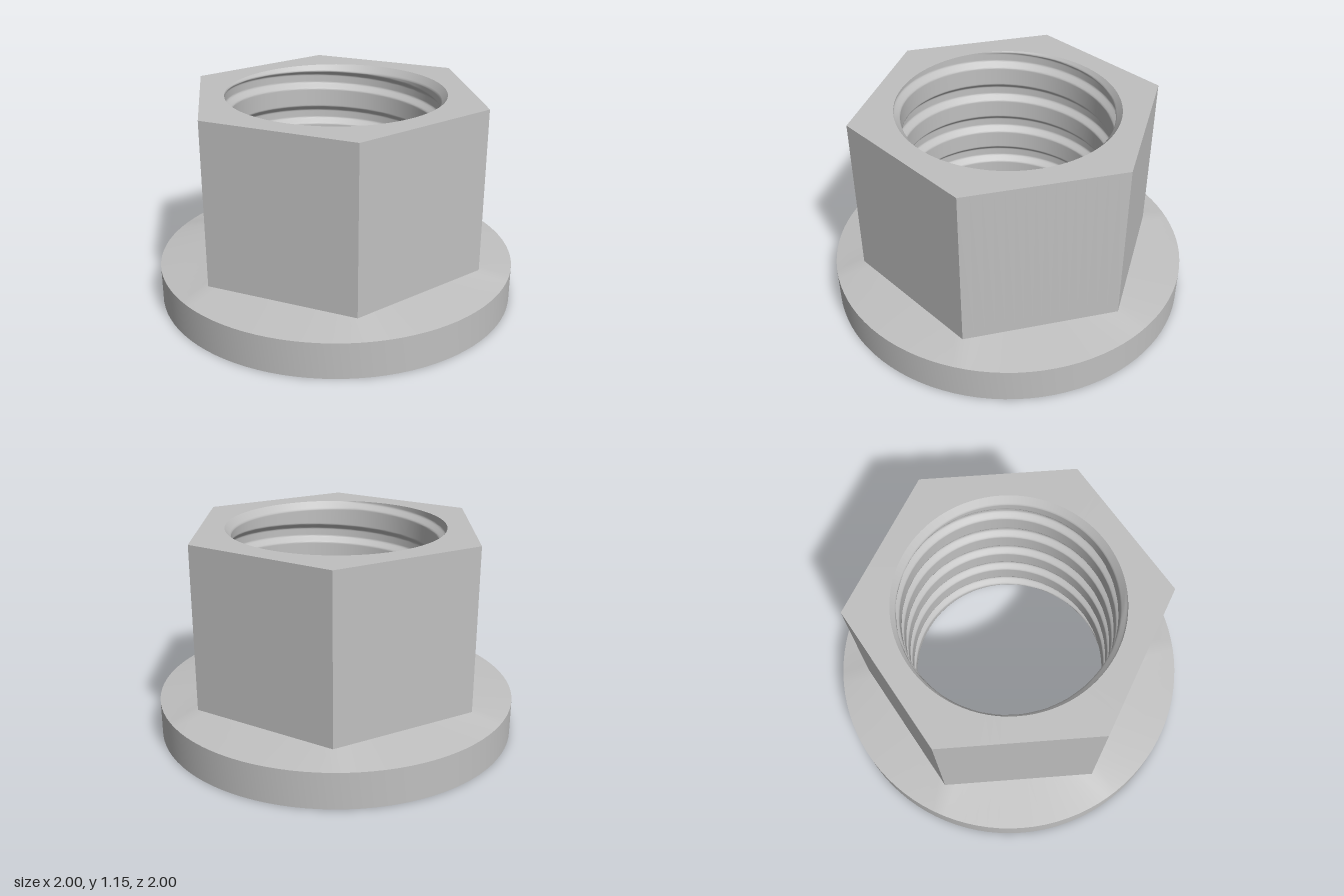
import * as THREE from 'three';
import { toCreasedNormals } from 'three/addons/utils/BufferGeometryUtils.js';

const SEG = 96, HEIGHT = 1.15, FLAT = 0.73;
const CREST = 0.567, ROOT = 0.6, PITCH = 0.22;

// Closed rings stacked into a skin; each ring is { y, r(theta) }
function skin(rings) {
  const pos = [], index = [];
  rings.forEach(({ y, r }) => {
    for (let i = 0; i < SEG; i++) {
      const t = (i / SEG) * Math.PI * 2, rad = r(t);
      pos.push(rad * Math.cos(t), y, rad * Math.sin(t));
    }
  });
  for (let j = 0; j < rings.length - 1; j++) {
    for (let i = 0; i < SEG; i++) {
      const n = (i + 1) % SEG, a = j * SEG, b = a + SEG;
      index.push(a + i, b + i, b + n, a + i, b + n, a + n);
    }
  }
  const geo = new THREE.BufferGeometry();
  geo.setAttribute('position', new THREE.Float32BufferAttribute(pos, 3));
  geo.setIndex(index);
  geo.computeVertexNormals();
  return geo;
}

const circle = (radius) => () => radius;
const hexagon = (t) => {
  const sector = Math.PI / 3;
  const a = (t + 1e-9) % sector;
  return FLAT / Math.cos(a - sector / 2);
};

// Wide crest with a narrow sloped groove, opened out by a chamfer at each end
function boreRadius(y, t) {
  const phase = y / PITCH + t / (Math.PI * 2);
  const d = Math.abs(phase - Math.floor(phase) - 0.5) * PITCH;
  const groove = THREE.MathUtils.clamp((0.055 - d) / 0.03, 0, 1);
  const thread = CREST + (ROOT - CREST) * groove;
  return Math.max(thread, ROOT - (HEIGHT - y) * 0.8, 0.62 - y * 0.9);
}

export function createModel() {
  const steel = new THREE.MeshStandardMaterial({ color: 0xc0c0c0 });
  steel.name = 'steel grey';
  const group = new THREE.Group();
  group.name = 'flangeNut';
  const add = (name, geo) => {
    const mesh = new THREE.Mesh(geo, steel);
    mesh.name = name;
    group.add(mesh);
  };
  const creased = (rings) => toCreasedNormals(skin(rings), 0.4);

  // Round flange: underside, rim and shallow slope meeting the hexagon
  add('flange', creased([
    { y: 0, r: circle(0.62) },
    { y: 0, r: circle(1) },
    { y: 0.2, r: circle(1) },
    { y: 0.24, r: hexagon },
  ]));

  // Hexagonal body with its flat top
  add('hexBody', creased([
    { y: 0.24, r: hexagon },
    { y: HEIGHT, r: hexagon },
    { y: HEIGHT, r: circle(ROOT) },
  ]));

  // Threaded bore, facing inwards
  const rows = 168, bore = [];
  for (let j = 0; j <= rows; j++) {
    const y = HEIGHT * (1 - j / rows);
    bore.push({ y, r: (t) => boreRadius(y, t) });
  }
  add('threadedBore', skin(bore));

  return group;
}
